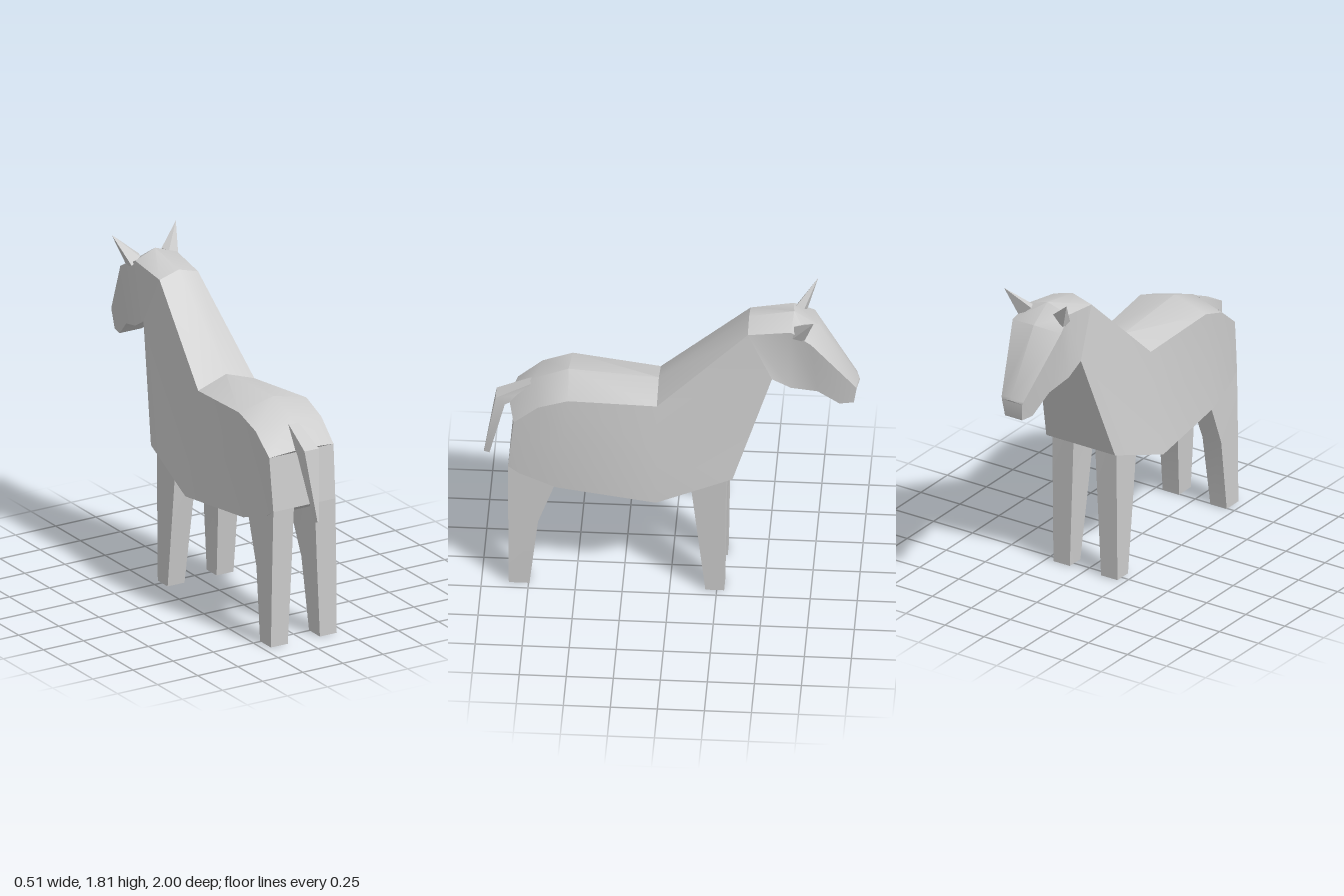
import * as THREE from 'three';
import { toCreasedNormals } from 'three/addons/utils/BufferGeometryUtils.js';

const material = new THREE.MeshStandardMaterial({ color: 0xcccccc });

// Skin a list of rings (clockwise when looking along the run) and close both ends.
function loft(name, rings) {
  const pos = [];
  const tri = (...p) => pos.push(...p.flat());
  const n = rings[0].length;
  for (let i = 0; i < rings.length - 1; i++) {
    for (let j = 0; j < n; j++) {
      const k = (j + 1) % n, a = rings[i], b = rings[i + 1];
      tri(a[j], a[k], b[k]);
      tri(a[j], b[k], b[j]);
    }
  }
  const cap = (r, flip) => {
    for (let k = 0; k < n - k; k++) {
      const faces = [[k, k + 1, (n - k) % n], [k + 1, n - k - 1, (n - k) % n]];
      for (const [a, b, c] of faces) {
        if (a === b || b === c || a === c) continue;
        if (flip) tri(r[a], r[c], r[b]);
        else tri(r[a], r[b], r[c]);
      }
    }
  };
  cap(rings[0], true);
  cap(rings[rings.length - 1], false);
  const geo = new THREE.BufferGeometry();
  geo.setAttribute('position', new THREE.Float32BufferAttribute(pos, 3));
  const mesh = new THREE.Mesh(toCreasedNormals(geo, 0.62), material);
  mesh.name = name;
  return mesh;
}

// Ring from a ridge point [y, z] and left-hand points [x, y, z], mirrored to the right.
const symmetric = ([y, z], ...left) => [
  [0, y, z], ...left, ...left.slice().reverse().map(([a, b, c]) => [-a, b, c]),
];

const mirror = (rings) => rings.map((r) => r.map(([x, y, z]) => [-x, y, z]).reverse());

// Four-sided leg ring: inner and outer x, then y and z at the head end and the tail end.
const legRing = (x0, x1, yA, zA, yB, zB) => [
  [x0, yA, zA], [x1, yA, zA], [x1, yB, zB], [x0, yB, zB],
];

export function createModel() {
  const group = new THREE.Group();
  group.name = 'horse';

  // Trunk and neck, from rump to throat
  group.add(loft('bodyAndNeck', [
    symmetric([1.1, 0.87], [0.2, 1.07, 0.83], [0.197, 0.92, 0.845], [0.193, 0.77, 0.86]),
    symmetric([1.22, 0.73], [0.205, 1.18, 0.7], [0.203, 0.95, 0.75], [0.2, 0.73, 0.8]),
    symmetric([1.29, 0.55], [0.21, 1.235, 0.54], [0.215, 0.95, 0.57], [0.22, 0.66, 0.6]),
    symmetric([1.255, 0.07], [0.175, 1.195, 0.07], [0.215, 0.9, 0.07], [0.255, 0.61, 0.07]),
    symmetric([1.69, -0.41], [0.12, 1.655, -0.41], [0.14, 1.38, -0.54], [0.22, 0.76, -0.335]),
  ]));

  // Head, from neck to muzzle
  group.add(loft('head', [
    symmetric([1.69, -0.41], [0.12, 1.655, -0.41], [0.14, 1.38, -0.54]),
    symmetric([1.735, -0.65], [0.13, 1.69, -0.64], [0.13, 1.32, -0.64]),
    symmetric([1.65, -0.78], [0.155, 1.63, -0.75], [0.1, 1.28, -0.78]),
    symmetric([1.31, -0.995], [0.07, 1.295, -0.98], [0.07, 1.18, -0.895]),
    symmetric([1.295, -1], [0.065, 1.28, -0.985], [0.055, 1.18, -0.97]),
  ]));

  // Paired parts, given for the +x side
  const tip = [0.2, 1.81, -0.765];
  const pairs = {
    Ear: [
      [[0.07, 1.7, -0.7], [0.09, 1.7, -0.655], [0.145, 1.66, -0.65], [0.14, 1.64, -0.71]],
      [tip, tip, tip, tip],
    ],
    FrontLeg: [
      legRing(0.065, 0.205, 0.8, -0.3, 0.73, -0.11),
      legRing(0.07, 0.205, 0.74, -0.3, 0.67, -0.115),
      legRing(0.1, 0.205, 0, -0.29, 0, -0.19),
    ],
    HindLeg: [
      legRing(0.065, 0.193, 0.66, 0.61, 0.77, 0.86),
      legRing(0.08, 0.2, 0.41, 0.7, 0.41, 0.858),
      legRing(0.1, 0.205, 0, 0.745, 0, 0.855),
    ],
  };
  for (const [part, rings] of Object.entries(pairs)) {
    group.add(loft('left' + part, rings), loft('right' + part, mirror(rings)));
  }

  // Tail, bending down from the rump to a thin tip
  const tailRing = (w0, y0, z0, w1, y1, z1) => [
    [w0, y0, z0], [-w0, y0, z0], [-w1, y1, z1], [w1, y1, z1],
  ];
  group.add(loft('tail', [
    tailRing(0.03, 1.2, 0.75, 0.03, 1.14, 0.74),
    tailRing(0.045, 1.11, 0.935, 0.06, 1.08, 0.885),
    tailRing(0.004, 0.72, 1, 0.004, 0.71, 0.97),
  ]));

  return group;
}
